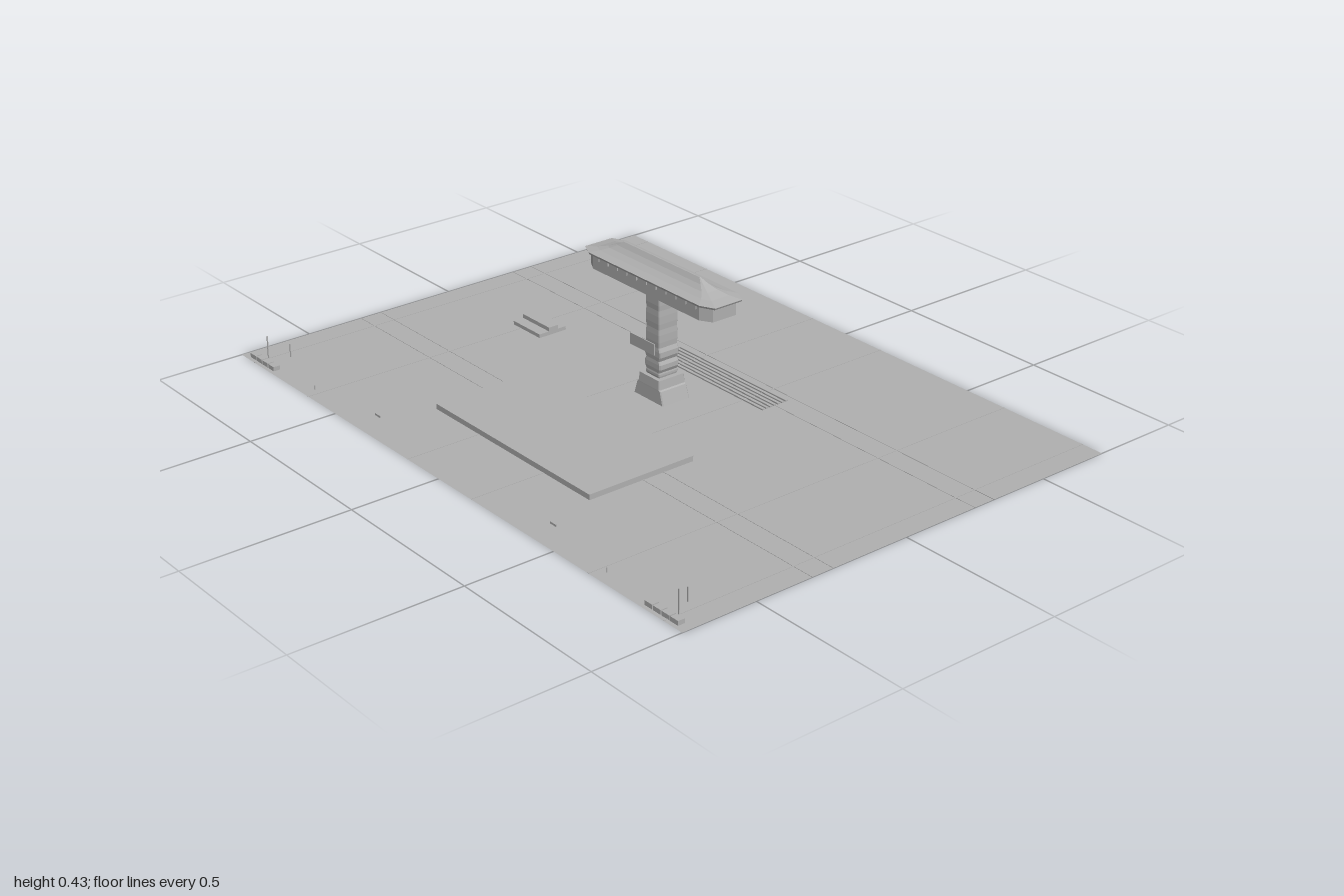
import * as THREE from 'three';

const stone = new THREE.MeshStandardMaterial({ color: 0xb0b0b0, side: THREE.DoubleSide });
stone.name = 'grey stone';

const AXIS_Z = -0.026; // depth of the tower's centre line

// Chamfered rectangle at height y, counter-clockwise seen from above
function ring(y, hx, hz, cx, cz) {
  const corners = [[hx, -hz + cz], [hx - cx, -hz], [-hx + cx, -hz], [-hx, -hz + cz],
    [-hx, hz - cz], [-hx + cx, hz], [hx - cx, hz], [hx, hz - cz]];
  return corners.map(([x, z]) => new THREE.Vector3(x, y, z));
}

// Flat-faced solid through a stack of rings, closed at both ends
function loft(rings) {
  const points = [];
  const n = rings[0].length;
  for (let i = 0; i < rings.length - 1; i++) {
    for (let j = 0; j < n; j++) {
      const k = (j + 1) % n;
      const [a, b, c, d] = [rings[i][j], rings[i][k], rings[i + 1][k], rings[i + 1][j]];
      points.push(a, b, c, a, c, d);
    }
  }
  const low = rings[0], top = rings[rings.length - 1];
  for (let j = 1; j < n - 1; j++) {
    points.push(low[0], low[j + 1], low[j], top[0], top[j], top[j + 1]);
  }
  const geometry = new THREE.BufferGeometry().setFromPoints(points);
  geometry.computeVertexNormals();
  return geometry;
}

function add(parent, name, geometry, x = 0, y = 0, z = 0) {
  const mesh = new THREE.Mesh(geometry, stone);
  mesh.name = name;
  mesh.position.set(x, y, z);
  parent.add(mesh);
  return mesh;
}

// Box given by its extents on each axis
function block(parent, name, x0, x1, y0, y1, z0, z1) {
  return add(parent, name, new THREE.BoxGeometry(x1 - x0, y1 - y0, z1 - z0),
    (x0 + x1) / 2, (y0 + y1) / 2, (z0 + z1) / 2);
}

function buildGround(model) {
  const plane = new THREE.PlaneGeometry(2, 1.46).rotateX(-Math.PI / 2);
  add(model, 'ground', plane);
  // Paving seams
  const seams = new THREE.Group();
  seams.name = 'pavingSeams';
  for (const x of [-0.93, -0.64, -0.146, 0.146, 0.64, 0.93]) {
    block(seams, 'seamAcross', x - 0.002, x + 0.002, 0, 0.001, -0.73, 0.73);
  }
  for (const z of [-0.317, -0.247, 0.247, 0.317]) {
    block(seams, 'seamAlong', -1, 1, 0, 0.001, z - 0.002, z + 0.002);
  }
  model.add(seams);
  block(model, 'platform', -0.347, 0.344, 0, 0.016, 0.147, 0.496);

  // Low grating behind the tower
  const grating = new THREE.Group();
  grating.name = 'grating';
  for (let i = 0; i < 7; i++) {
    const z = -0.289 + i * 0.0145;
    block(grating, 'gratingBar', -0.235, 0.23, 0, 0.004, z - 0.004, z + 0.004);
  }
  model.add(grating);
}

function buildTower(model) {
  const tower = new THREE.Group();
  tower.name = 'tower';
  tower.position.z = AXIS_Z;

  // Battered pedestal with a cap course
  add(tower, 'pedestal', loft([
    ring(0.016, 0.064, 0.048, 0.003, 0.003),
    ring(0.055, 0.052, 0.047, 0.003, 0.003),
    ring(0.058, 0.047, 0.047, 0.003, 0.003),
    ring(0.085, 0.044, 0.045, 0.003, 0.003),
  ]));

  // Stacked shaft blocks, the lower ones slightly bulging
  const courses = [[0.085, 0.100, 0], [0.100, 0.135, 0.004], [0.135, 0.175, 0.004],
    [0.175, 0.230, 0], [0.230, 0.287, 0], [0.287, 0.340, 0]];
  for (const [y0, y1, bulge] of courses) {
    const h = y1 - y0;
    add(tower, 'shaftBlock', loft([
      ring(y0, 0.029, 0.033, 0.003, 0.003),
      ring(y0 + h * 0.3, 0.030 + bulge, 0.034, 0.003, 0.003),
      ring(y0 + h * 0.7, 0.030 + bulge, 0.034, 0.003, 0.003),
      ring(y1, 0.029, 0.033, 0.003, 0.003),
    ]));
  }

  // Long head beam with corbels below the eaves
  add(tower, 'headBeam', loft([
    ring(0.338, 0.264, 0.060, 0.035, 0.020),
    ring(0.380, 0.264, 0.060, 0.035, 0.020),
  ]));
  for (const side of [-1, 1]) {
    for (let i = 0; i < 11; i++) {
      const x = -0.21 + i * 0.042;
      const z = side * 0.061;
      block(tower, 'corbel', x - 0.010, x + 0.010, 0.368, 0.381, z - 0.003, z + 0.003);
    }
  }

  // Hipped roof with sweeping concave slopes
  const slopes = [[0.380, 0.278, 0.066], [0.386, 0.281, 0.068], [0.392, 0.246, 0.044],
    [0.401, 0.214, 0.025], [0.412, 0.186, 0.012], [0.425, 0.163, 0.002]];
  add(tower, 'roof', loft(slopes.map(([y, hx, hz]) =>
    ring(y, hx, hz, 0.042 * hz / 0.068, 0.3 * hz))));
  model.add(tower);

  // Hanging panel in front of the shaft
  block(model, 'hangingPanel', -0.053, 0.051, 0.173, 0.207, 0.040, 0.043);
}

function buildExtras(model) {
  // Raised slab with a ridge bar
  block(model, 'sideSlab', -0.52, -0.395, 0.086, 0.097, 0.008, 0.102);
  block(model, 'sideSlabRidge', -0.52, -0.395, 0.097, 0.109, 0.036, 0.068);

  // Corner kerbs, thin posts and ground markers, mirrored
  for (const s of [-1, 1]) {
    const corner = new THREE.Group();
    corner.name = s > 0 ? 'leftCorner' : 'rightCorner';
    for (let i = 0; i < 4; i++) {
      const x = s * (0.858 + i * 0.0325);
      block(corner, 'kerbBlock', x - 0.0145, x + 0.0145, 0, 0.013, 0.697, 0.718);
    }
    block(corner, 'tallPost', s * 0.93 - 0.0015, s * 0.93 + 0.0015, 0, 0.07, 0.681, 0.684);
    block(corner, 'shortPost', s * 0.898 - 0.0015, s * 0.898 + 0.0015, 0, 0.041, 0.626, 0.629);
    block(corner, 'groundMarker', s * 0.4 - 0.012, s * 0.4 + 0.012, 0.006, 0.012, 0.652, 0.656);
    block(corner, 'smallPeg', s * 0.665 - 0.001, s * 0.665 + 0.001, 0, 0.014, 0.690, 0.692);
    model.add(corner);
  }
}

export function createModel() {
  const model = new THREE.Group();
  model.name = 'plazaTower';
  buildGround(model);
  buildTower(model);
  buildExtras(model);
  return model;
}
